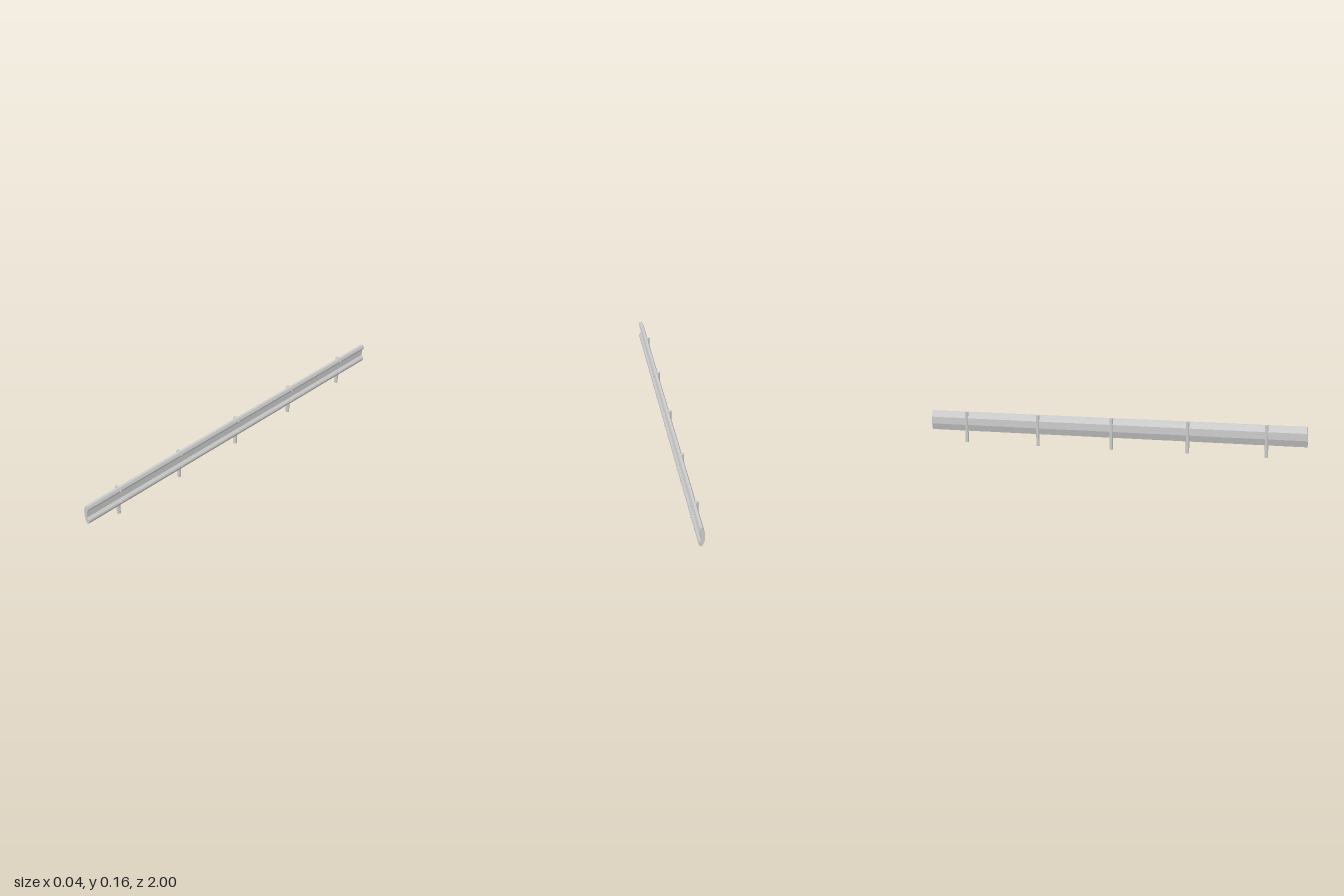
import * as THREE from 'three';

export function createModel() {
  const group = new THREE.Group();
  group.name = 'guardRail';
  const material = new THREE.MeshStandardMaterial({ color: 0xcccccc, flatShading: true });
  const add = (name, geometry, x, y, z) => {
    const mesh = new THREE.Mesh(geometry, material);
    mesh.name = name;
    mesh.position.set(x, y, z);
    group.add(mesh);
    return mesh;
  };

  // Beam: upper half of the section, mirrored about its mid height, run along z
  const midY = 0.11;
  const half = [
    [0.0035, 0.016], [0.0135, 0.028], [0.0155, 0.036],
    [0.0095, 0.05], [-0.0035, 0.05], [-0.0143, 0.018],
  ];
  const section = [...half, ...half.map(([x, y]) => [x, -y]).reverse()];
  const shape = new THREE.Shape(section.map(([x, y]) => new THREE.Vector2(x, y)));
  const beam = new THREE.ExtrudeGeometry(shape, { depth: 2, bevelEnabled: false });
  add('railBeam', beam, 0, midY, -1);

  // Eight-sided posts, each with a pair of bolts on the beam's lips
  const postHeight = 0.161;
  const postGeometry = new THREE.CylinderGeometry(0.0095, 0.0095, postHeight, 8);
  const boltGeometry = new THREE.CylinderGeometry(0.0045, 0.0045, 0.007, 8);
  boltGeometry.rotateZ(-Math.PI / 2);
  for (let i = -2; i <= 2; i++) {
    const z = i * 0.4;
    add('post', postGeometry, -0.0093, postHeight / 2, z);
    for (const side of [-1, 1]) add('bolt', boltGeometry, 0.0153, midY + side * 0.0325, z);
  }
  return group;
}
